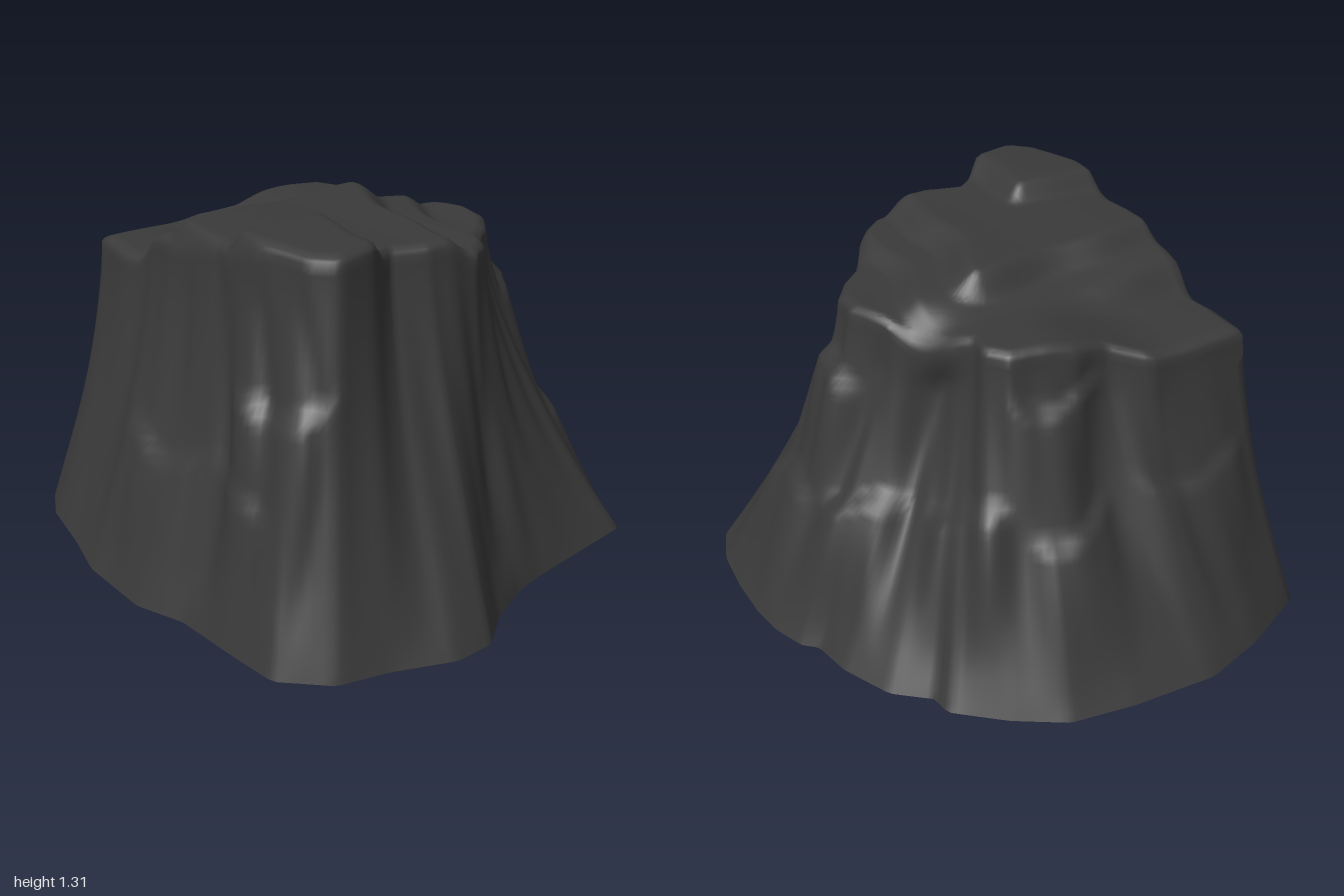
import * as THREE from 'three';
import { toCreasedNormals } from 'three/addons/utils/BufferGeometryUtils.js';

// Ground outline and plateau rim as x, z pairs, clockwise seen from above
const BASE = [-0.33, -0.99, -0.03, -1, 0.2, -0.98, 0.37, -0.88, 0.53, -0.75, 0.54, -0.67, 0.66, -0.58,
  0.75, -0.4, 0.78, -0.26, 0.83, -0.22, 0.88, -0.1, 0.9, 0.03, 0.905, 0.2, 0.89, 0.38, 0.84, 0.54,
  0.64, 0.6, 0.4, 0.67, 0.28, 0.72, 0.12, 0.83, 0, 0.96, -0.15, 0.995, -0.38, 0.95, -0.56, 0.94,
  -0.72, 0.82, -0.77, 0.55, -0.8, 0.35, -0.88, 0.17, -0.91, -0.15, -0.88, -0.35, -0.86, -0.6,
  -0.81, -0.73, -0.56, -0.89];
const RIM = [-0.64, -0.57, -0.55, -0.58, -0.4, -0.6, -0.27, -0.61, -0.14, -0.54, -0.02, -0.56, 0.2, -0.53,
  0.26, -0.46, 0.25, -0.38, 0.33, -0.28, 0.44, -0.15, 0.52, 0, 0.52, 0.1, 0.46, 0.2, 0.38, 0.28,
  0.31, 0.42, 0.2, 0.53, 0, 0.56, -0.13, 0.53, -0.25, 0.63, -0.4, 0.68, -0.47, 0.62, -0.55, 0.42,
  -0.57, 0.27, -0.56, 0.2, -0.6, 0, -0.61, -0.25, -0.64, -0.4];

const SEGMENTS = 240, LEVELS = 40, RINGS = 44;
const step = (v, a, b) => THREE.MathUtils.smoothstep(v, a, b);
const angleGap = (a, b) => Math.atan2(Math.sin(a - b), Math.cos(a - b));

// Distance from the axis to an outline in direction a
function reach(outline, a) {
  const c = Math.cos(a), s = Math.sin(a), n = outline.length;
  let best = 0;
  for (let i = 0; i < n; i += 2) {
    const x = outline[i], z = outline[i + 1];
    const dx = outline[(i + 2) % n] - x, dz = outline[(i + 3) % n] - z;
    const det = c * dz - s * dx;
    if (Math.abs(det) < 1e-9) continue;
    const u = (s * x - c * z) / det, r = (x * dz - z * dx) / det;
    if (u >= -1e-6 && u <= 1.000001 && r > best) best = r;
  }
  return best;
}

// Terraces climbing to the front corner, a sunken back corner and a gully head
function plateau(x, z) {
  const wave = 0.04 * Math.sin(5 * x + 1) + 0.015 * Math.sin(13 * x);
  const bend = 0.03 * Math.sin(6 * z) + 0.015 * Math.sin(15 * z);
  const middle = step(z + wave, -0.17, -0.08) * (1 - step(x + bend, 0.08, 0.2)) * step(x, -0.61, -0.55);
  const upper = step(z + 0.3 * wave, 0.23, 0.3) * (1 - step(x + 0.5 * bend, -0.25, -0.17)) * step(x, -0.58, -0.53);
  const shelf = (1 - step(x + bend, 0.28, 0.36)) * step(z, -0.3, -0.1);
  const sunken = (1 - step(z + wave, -0.35, -0.24)) * (1 - step(x, -0.4, 0.1));
  const gully = Math.exp(-(((x - 0.4) / 0.1) ** 2) - ((z + 0.27) / 0.11) ** 2);
  return 1.135 + 0.04 * shelf + 0.07 * middle + 0.062 * upper - 0.08 * sunken - 0.08 * gully
    + 0.006 * Math.sin(9 * x + 4 * z) * Math.cos(7 * z - 3 * x);
}

// Vertical clefts: angle, half width, depth, height fraction where deepest
const CLEFTS = [[1.22, 0.12, 0.035, 0.4], [-0.68, 0.22, 0.075, 0.72], [-1.72, 0.13, 0.05, 0.6],
  [-2.05, 0.07, 0.02, 0.5], [2.66, 0.07, 0.04, 0.4], [2.42, 0.05, 0.03, 0.6], [2.22, 0.04, 0.025, 0.6],
  [-0.2, 0.08, 0.02, 0.7], [3.0, 0.08, 0.02, 0.5]];
// Broken ledges: centre angle, half width, height fraction, overhang
const LEDGES = [[0.12, 0.32, 0.8, 0.035], [0.2, 0.3, 0.4, 0.03], [-0.35, 0.28, 0.46, 0.05],
  [-0.97, 0.26, 0.52, 0.05], [-1.5, 0.35, 0.87, 0.03], [-1.5, 0.25, 0.5, 0.035], [-2.1, 0.3, 0.6, 0.02],
  [3.05, 0.35, 0.44, 0.03], [2.35, 0.28, 0.64, 0.035], [2.5, 0.2, 0.4, 0.02]];

function wallRadius(a, t, base, rim) {
  let r = rim + (base - rim) * Math.pow(1 - t, 1.38);
  const body = Math.sin(Math.PI * Math.min(1, t * 0.9 + 0.02)) * step(t, 0, 0.12);
  for (const [at, width, depth, level] of CLEFTS) {
    const d = angleGap(a, at + 0.05 * Math.sin(5 * t + at)) / width;
    const h = (t - level) / 0.38;
    r -= depth * Math.exp(-d * d - h * h) * step(t, 0, 0.15) * (1 - step(t, 0.85, 1));
  }
  for (const [at, width, height, out] of LEDGES) {
    const d = Math.abs(angleGap(a, at)) / width;
    const edge = height + 0.04 * Math.sin(9 * a + at);
    r += out * (1 - step(d, 0.5, 1)) * (1 - step(t, edge - 0.02, edge + 0.035)) * step(t, edge - 0.45, edge - 0.05);
  }
  return r + body * (0.005 * Math.sin(17 * a + 3 * t) + 0.003 * Math.sin(31 * a - 5 * t));
}

function rockGeometry() {
  const points = [], faces = [];
  const columns = Array.from({ length: SEGMENTS }, (_, i) => {
    const a = (i / SEGMENTS) * Math.PI * 2;
    return { a, base: reach(BASE, a), rim: reach(RIM, a) };
  });
  // Flared walls from ground to rim
  for (let j = 0; j <= LEVELS; j++) {
    const t = j / LEVELS;
    for (const { a, base, rim } of columns) {
      const top = plateau(rim * Math.cos(a), rim * Math.sin(a)) - 0.03;
      const foot = 0.012 + 0.008 * Math.sin(3 * a + 1);
      const r = wallRadius(a, t, base, rim);
      points.push(r * Math.cos(a), foot + (top - foot) * t, r * Math.sin(a));
    }
  }
  // Rounded rim and terraced plateau, ring by ring toward the centre
  for (let j = 1; j <= RINGS; j++) {
    const k = 1 - Math.pow(j / RINGS, 1.2);
    for (const { a, rim } of columns) {
      const r = rim * k;
      const x = r * Math.cos(a), z = r * Math.sin(a);
      points.push(x, plateau(x, z) - 0.03 * (1 - step(1 - k, -0.04, 0.07)), z);
    }
  }
  for (let j = 0; j < LEVELS + RINGS; j++) {
    for (let i = 0; i < SEGMENTS; i++) {
      const n = (i + 1) % SEGMENTS, low = j * SEGMENTS, high = low + SEGMENTS;
      faces.push(low + i, high + i, low + n);
      if (j < LEVELS + RINGS - 1) faces.push(low + n, high + i, high + n);
    }
  }
  const geometry = new THREE.BufferGeometry();
  geometry.setAttribute('position', new THREE.Float32BufferAttribute(points, 3));
  geometry.setIndex(faces);
  return toCreasedNormals(geometry, 1.2);
}

export function createModel() {
  const group = new THREE.Group();
  group.name = 'rockMesa';
  // Open-bottomed shell
  const rock = new THREE.Mesh(rockGeometry(), new THREE.MeshStandardMaterial({ color: 0x3a3a3a, side: THREE.DoubleSide }));
  rock.name = 'rock';
  group.add(rock);
  return group;
}
